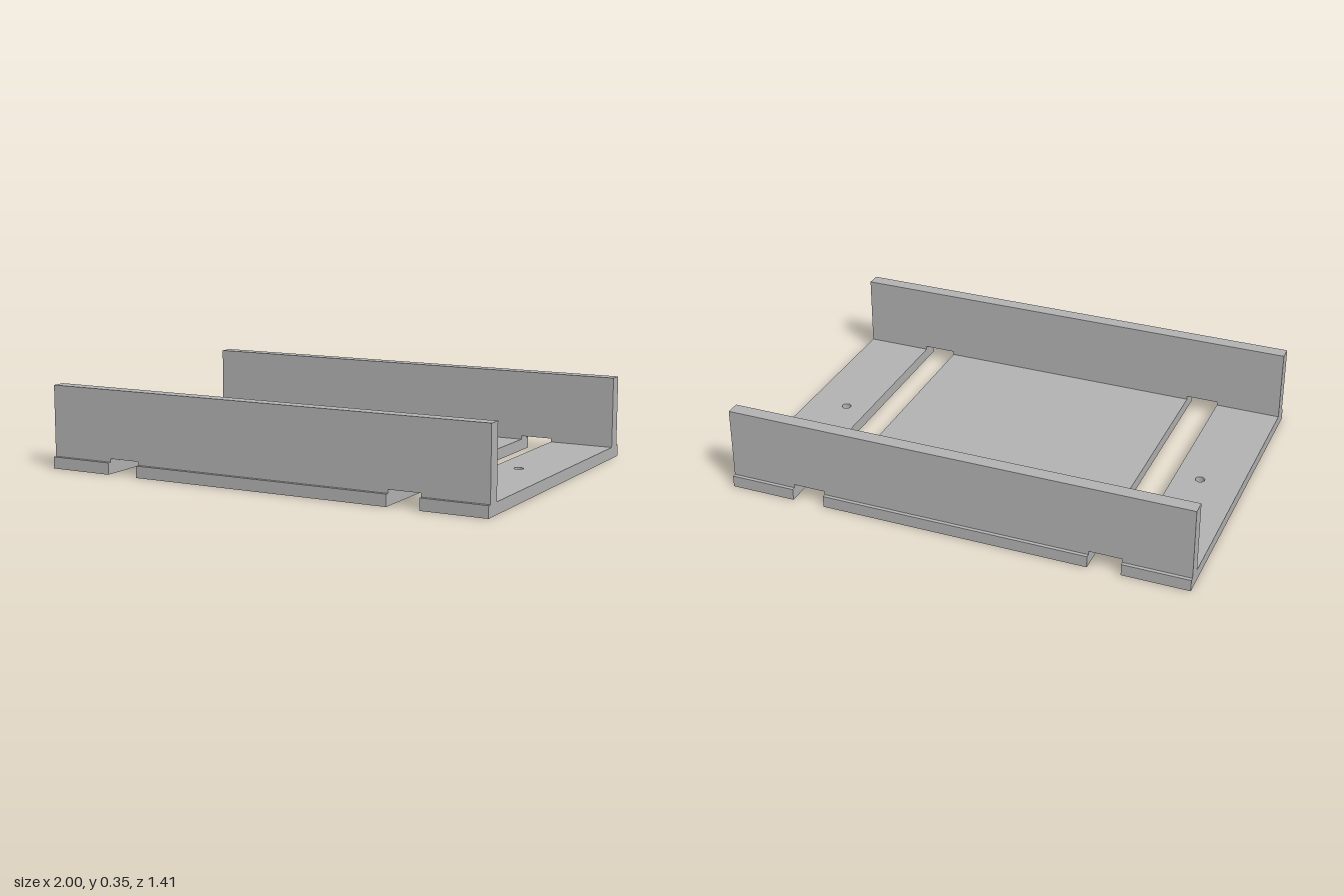
import * as THREE from 'three';

const PLATE_T = 0.05;          // floor thickness
const HALF_D = 0.705;          // half depth of the floor
const SLOT_IN = 0.577, SLOT_OUT = 0.717; // slot edges in x
const WALL_TOP = 0.355, NOTCH_TOP = 0.065;

export function createModel() {
  const model = new THREE.Group();
  model.name = 'slottedTray';
  const grey = new THREE.MeshStandardMaterial({ color: 0xb2b2b2 });
  grey.name = 'plain grey';

  const add = (name, geometry) => {
    const mesh = new THREE.Mesh(geometry, grey);
    mesh.name = name;
    model.add(mesh);
    return mesh;
  };

  // Centre floor panel
  add('centrePanel', new THREE.BoxGeometry(2 * SLOT_IN, PLATE_T, 2 * HALF_D))
    .position.y = PLATE_T / 2;

  // Outer floor strips, each with a screw hole
  for (const [side, s] of [['left', 1], ['right', -1]]) {
    const a = Math.min(s * SLOT_OUT, s), b = Math.max(s * SLOT_OUT, s);
    const strip = new THREE.Shape([
      new THREE.Vector2(a, -HALF_D), new THREE.Vector2(b, -HALF_D),
      new THREE.Vector2(b, HALF_D), new THREE.Vector2(a, HALF_D),
    ]);
    strip.holes.push(new THREE.Path().absarc(s * 0.825, 0, 0.02, 0, Math.PI * 2, true));
    const geo = new THREE.ExtrudeGeometry(strip, { depth: PLATE_T, bevelEnabled: false, curveSegments: 24 });
    geo.rotateX(-Math.PI / 2);
    add(side + 'Strip', geo);
  }

  // Front and back walls, notched above the slots
  const outline = [
    [-1, PLATE_T], [-SLOT_OUT, PLATE_T], [-SLOT_OUT, NOTCH_TOP], [-SLOT_IN, NOTCH_TOP], [-SLOT_IN, PLATE_T],
    [SLOT_IN, PLATE_T], [SLOT_IN, NOTCH_TOP], [SLOT_OUT, NOTCH_TOP], [SLOT_OUT, PLATE_T], [1, PLATE_T],
    [1, WALL_TOP], [-1, WALL_TOP],
  ].map(([x, y]) => new THREE.Vector2(x, y));
  const wall = new THREE.ExtrudeGeometry(new THREE.Shape(outline), { depth: 0.06, bevelEnabled: false });
  wall.translate(0, 0, -0.03);
  add('frontWall', wall).position.z = 0.659;
  add('backWall', wall).position.z = -0.659;

  return model;
}
